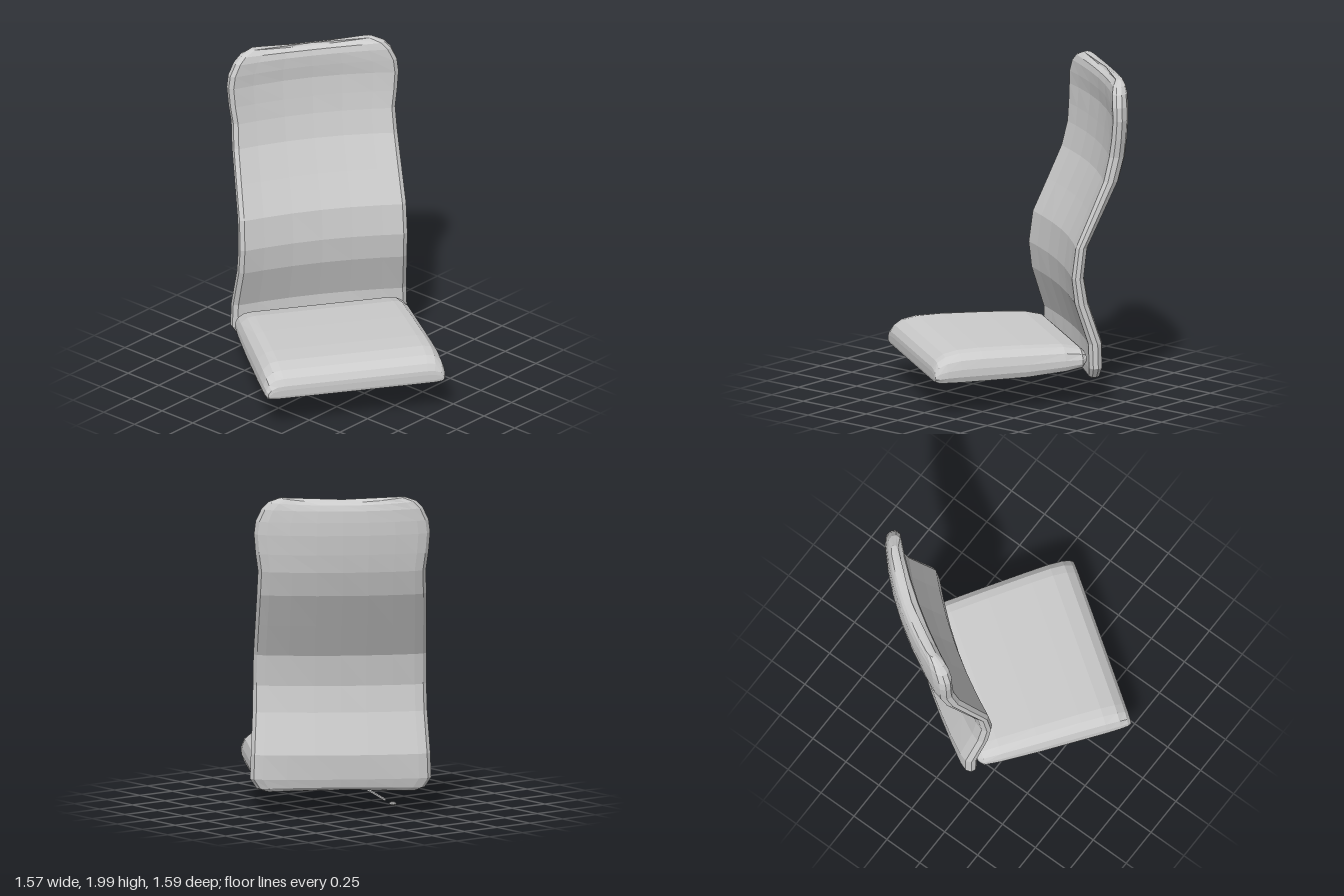
import * as THREE from 'three';

const material = new THREE.MeshStandardMaterial({ color: 0xcccccc, flatShading: true });

function addMesh(parent, name, geometry) {
  const mesh = new THREE.Mesh(geometry, material);
  mesh.name = name;
  parent.add(mesh);
  return mesh;
}

// Skin a stack of closed rings and close both ends with fans.
function loft(rings) {
  const n = rings[0].length;
  const points = rings.flat();
  const index = [];
  for (let i = 0; i < rings.length - 1; i++) {
    for (let j = 0; j < n; j++) {
      const a = i * n + j, b = i * n + (j + 1) % n;
      index.push(a, b, a + n, b, b + n, a + n);
    }
  }
  [0, rings.length - 1].forEach((r) => {
    const centre = new THREE.Vector3();
    rings[r].forEach((p) => centre.addScaledVector(p, 1 / n));
    const c = points.push(centre) - 1;
    for (let j = 0; j < n; j++) {
      const a = r * n + j, b = r * n + (j + 1) % n;
      if (r === 0) index.push(c, b, a);
      else index.push(c, a, b);
    }
  });
  const geometry = new THREE.BufferGeometry().setFromPoints(points);
  geometry.setIndex(index);
  geometry.computeVertexNormals();
  return geometry;
}

// Cushion: cross-sections across the seat, from back to front.
function seatGeometry() {
  // fractions of half-width and height, counter-clockwise
  const right = [[0.55, 0], [0.9, 0.01], [0.98, 0.07], [1, 0.25], [0.995, 0.48], [0.965, 0.75], [0.89, 0.95], [0.8, 1], [0.4, 1]];
  const section = [[0, 0], ...right, [0, 1], ...right.map(([x, y]) => [-x, y]).reverse()];
  // z, half-width, bottom, top
  const rows = [
    [-0.38, 0.5, 0.28, 0.34], [-0.35, 0.53, 0.25, 0.365], [-0.24, 0.54, 0.23, 0.39],
    [0, 0.55, 0.21, 0.4], [0.28, 0.56, 0.207, 0.405], [0.42, 0.565, 0.207, 0.4],
    [0.51, 0.565, 0.21, 0.38], [0.56, 0.56, 0.214, 0.345], [0.582, 0.55, 0.225, 0.305], [0.585, 0.535, 0.24, 0.28],
  ];
  return loft(rows.map(([z, w, low, high]) =>
    section.map(([x, y]) => new THREE.Vector3(x * w, low + y * (high - low), z))));
}

// Backrest: horizontal cross-sections following the S-shaped spine.
function backGeometry() {
  // fraction of half-width, and of depth (0 back, 1 front)
  const right = [[0.3, 0], [0.6, 0], [0.86, 0], [0.96, 0.1], [1, 0.4], [0.99, 0.75], [0.94, 1], [0.7, 1], [0.35, 1]];
  const section = [[0, 1], ...right.map(([x, t]) => [x, t]).reverse(), [0, 0], ...right.map(([x, t]) => [-x, t])];
  // y, half-width, front z, back z, front hollow, back bulge, edge lift
  const rows = [
    [0.185, 0.45, -0.405, -0.445, 0.03, 0.03, -0.015],
    [0.2, 0.51, -0.39, -0.46, 0.03, 0.03, -0.01],
    [0.25, 0.55, -0.385, -0.472, 0.03, 0.03, 0],
    [0.4, 0.545, -0.38, -0.47, 0.04, 0.04, 0],
    [0.65, 0.53, -0.297, -0.385, 0.045, 0.045, 0],
    [0.81, 0.527, -0.277, -0.357, 0.05, 0.05, 0],
    [1.0, 0.525, -0.302, -0.378, 0.05, 0.055, 0],
    [1.2, 0.52, -0.39, -0.475, 0.055, 0.06, 0],
    [1.4, 0.515, -0.477, -0.571, 0.055, 0.065, 0],
    [1.55, 0.51, -0.512, -0.61, 0.055, 0.07, 0],
    [1.66, 0.525, -0.526, -0.62, 0.055, 0.075, 0],
    [1.78, 0.535, -0.534, -0.626, 0.06, 0.08, 0],
    [1.86, 0.525, -0.532, -0.626, 0.055, 0.08, 0],
    [1.93, 0.49, -0.535, -0.622, 0.05, 0.08, 0.005],
    [1.965, 0.45, -0.545, -0.615, 0.05, 0.075, 0.012],
    [1.98, 0.38, -0.565, -0.605, 0.06, 0.07, 0.025],
  ];
  return loft(rows.map(([y, w, front, back, hollow, bulge, lift]) => section.map(([f, t]) => {
    const x = f * w, curve = 1 - (x / 0.54) ** 2;
    const z = THREE.MathUtils.lerp(back - bulge * curve, front - hollow * curve, t);
    return new THREE.Vector3(x, y + lift * (f * f), z);
  })));
}

export function createModel() {
  const model = new THREE.Group();
  model.name = 'chairTop';
  const chair = new THREE.Group();
  chair.name = 'turnedChair';
  chair.rotation.y = -0.6;
  model.add(chair);

  addMesh(chair, 'seat', seatGeometry());
  addMesh(chair, 'backrest', backGeometry()).position.x = 0.012;

  // Swivel plate and hub under the seat
  addMesh(chair, 'swivelPlate', new THREE.CylinderGeometry(0.185, 0.175, 0.025, 16)).position.set(0.018, 0.202, 0.115);
  addMesh(chair, 'hub', new THREE.CylinderGeometry(0.073, 0.06, 0.032, 12)).position.set(0.018, 0.176, 0.115);

  // Adjustment lever with a flattened paddle
  const start = new THREE.Vector3(-0.03, 0.178, 0.1);
  const grip = new THREE.Vector3(-0.285, 0.045, -0.045);
  const rod = new THREE.LineCurve3(start, grip);
  addMesh(chair, 'leverRod', new THREE.TubeGeometry(rod, 1, 0.008, 6));
  const paddle = addMesh(chair, 'leverPaddle', new THREE.SphereGeometry(1, 8, 6));
  paddle.scale.set(0.024, 0.012, 0.056);
  paddle.position.set(-0.325, 0.027, -0.065);
  paddle.lookAt(new THREE.Vector3(-0.37, 0.006, -0.09));
  return model;
}
